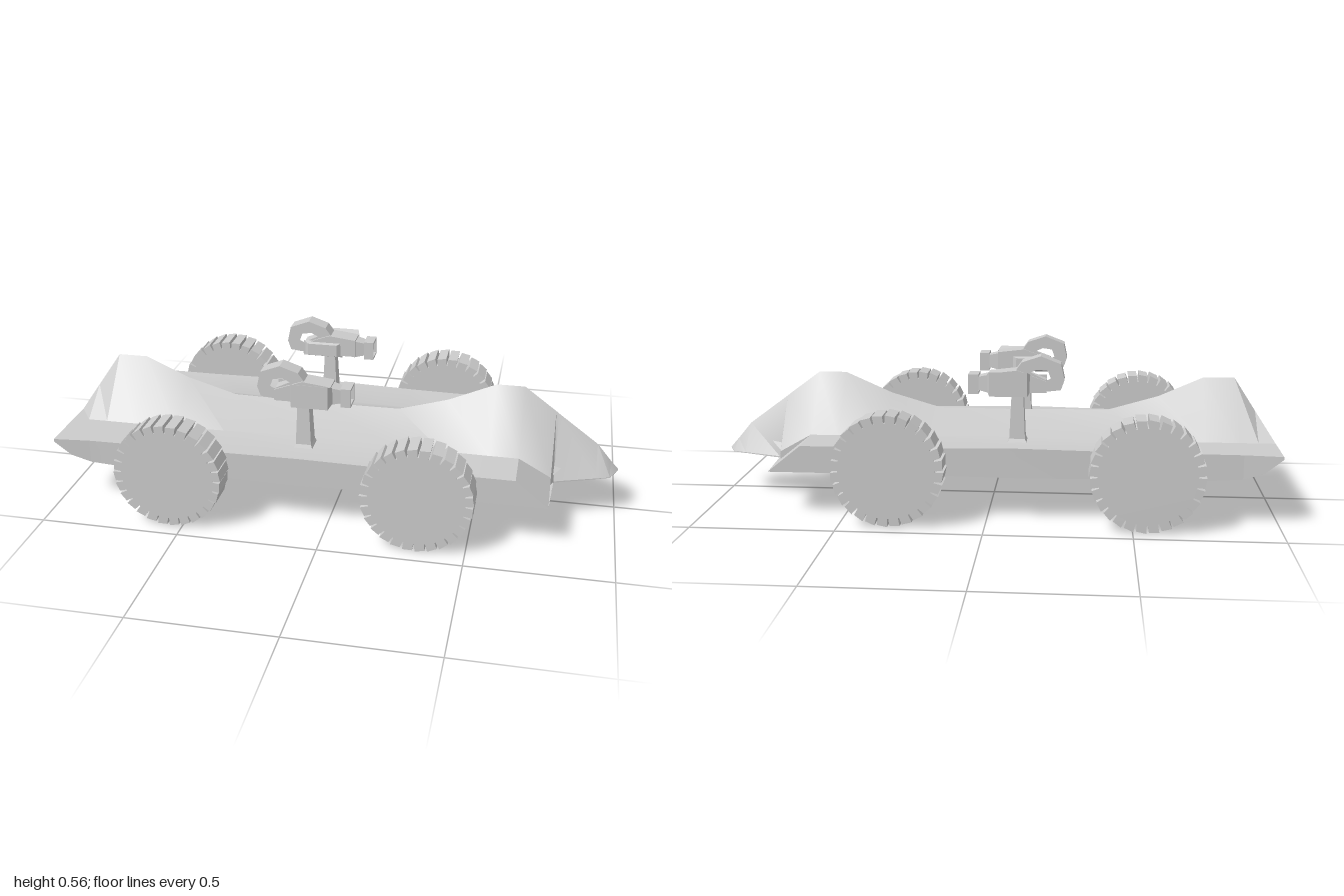
import * as THREE from 'three';
import { toCreasedNormals } from 'three/addons/utils/BufferGeometryUtils.js';

const material = new THREE.MeshStandardMaterial({ color: 0xcccccc });

function addMesh(parent, name, geometry, x = 0, y = 0, z = 0) {
  const mesh = new THREE.Mesh(geometry, material);
  mesh.name = name;
  mesh.position.set(x, y, z);
  parent.add(mesh);
  return mesh;
}

// Mirrors a half section of [y, z] points (top centre to bottom centre) into a ring
function ring(x, half) {
  const left = half.map(([y, z]) => new THREE.Vector3(x, y, z));
  const right = half.slice(1, -1).reverse().map(([y, z]) => new THREE.Vector3(x, y, -z));
  return [...left, ...right];
}

// Joins rings running towards +x, with optional end caps
function loft(rings, capBack, capFront, crease = 0.6) {
  const pos = [];
  const tri = (a, b, c) => {
    const area = b.clone().sub(a).cross(c.clone().sub(a)).length();
    if (area > 1e-8) for (const p of [a, b, c]) pos.push(p.x, p.y, p.z);
  };
  const n = rings[0].length;
  for (let i = 0; i + 1 < rings.length; i++) {
    for (let j = 0; j < n; j++) {
      const k = (j + 1) % n;
      tri(rings[i][j], rings[i][k], rings[i + 1][k]);
      tri(rings[i][j], rings[i + 1][k], rings[i + 1][j]);
    }
  }
  const cap = (r, flip) => {
    const mid = r.reduce((s, p) => s.add(p), new THREE.Vector3()).divideScalar(n);
    r.forEach((p, j) => {
      const q = r[(j + 1) % n];
      if (flip) tri(mid, q, p); else tri(mid, p, q);
    });
  };
  if (capBack) cap(rings[0], true);
  if (capFront) cap(rings[rings.length - 1], false);
  const g = new THREE.BufferGeometry();
  g.setAttribute('position', new THREE.Float32BufferAttribute(pos, 3));
  return toCreasedNormals(g, crease);
}

// Box whose top differs in size from its base
function taperedBox(w0, d0, w1, d1, h) {
  const g = new THREE.BoxGeometry(w0, h, d0).toNonIndexed();
  const p = g.attributes.position;
  for (let i = 0; i < p.count; i++) {
    if (p.getY(i) > 0) p.setXYZ(i, p.getX(i) * w1 / w0, p.getY(i), p.getZ(i) * d1 / d0);
  }
  g.translate(0, h / 2, 0);
  g.computeVertexNormals();
  return g;
}

function extrude(points, depth, hole) {
  const shape = new THREE.Shape(points.map(p => new THREE.Vector2(...p)));
  if (hole) shape.holes.push(new THREE.Path(hole.map(p => new THREE.Vector2(...p))));
  return new THREE.ExtrudeGeometry(shape, { depth, bevelEnabled: false }).translate(0, 0, -depth / 2);
}

function makeHull() {
  const hull = new THREE.Group();
  hull.name = 'hull';
  // x, ridge y, shoulder z, shoulder y, inner deck y, deck edge z, deck edge y, bottom y
  const sections = [
    [-0.87, 0.45, 0.17, 0.25, 0.25, 0.337, 0.25, 0.165],
    [-0.76, 0.45, 0.17, 0.25, 0.25, 0.335, 0.25, 0.157],
    [-0.60, 0.378, 0.168, 0.25, 0.25, 0.335, 0.25, 0.155],
    [-0.42, 0.325, 0.165, 0.252, 0.252, 0.336, 0.252, 0.155],
    [-0.10, 0.32, 0.165, 0.258, 0.258, 0.341, 0.258, 0.153],
    [0.20, 0.322, 0.165, 0.252, 0.252, 0.336, 0.252, 0.155],
    [0.38, 0.375, 0.167, 0.25, 0.25, 0.335, 0.25, 0.155],
    [0.55, 0.45, 0.17, 0.25, 0.25, 0.335, 0.25, 0.155],
    [0.65, 0.45, 0.17, 0.25, 0.25, 0.335, 0.25, 0.155],
    [0.765, 0.365, 0.167, 0.185, 0.157, 0.335, 0.157, 0.155],
    [0.775, 0.357, 0.145, 0.16, 0.157, 0.145, 0.157, 0.155],
    [0.92, 0.25, 0.09, 0.158, 0.157, 0.09, 0.157, 0.155],
    [0.97, 0.19, 0.07, 0.157, 0.157, 0.07, 0.157, 0.155],
    [1.0, 0.156, 0.005, 0.156, 0.156, 0.005, 0.156, 0.155],
  ];
  addMesh(hull, 'hullBody', loft(sections.map(([x, ridge, sz, sy, iy, dz, dy, by]) =>
    ring(x, [[ridge, 0], [sy, sz], [iy, sz], [dy, dz], [by, dz], [by, 0]])), true, true));

  // Tail: two flanks either side of a recessed ramp
  const mix = THREE.MathUtils.lerp;
  const tail = [[1, 0.24], [0.55, 0.19], [0, 0.165]].map(([t, bottom]) => {
    const floor = mix(0.3, 0.245, t);
    const edge = mix(0.337, 0.35, t);
    return ring(mix(-0.87, -1, t), [[floor, 0], [floor, 0.085], [mix(0.45, 0.25, t), 0.085 * t],
      [0.25, 0.17], [0.25, edge], [bottom, edge], [bottom, 0]]);
  });
  addMesh(hull, 'tail', loft(tail, true, false, 0.3));

  // Small prongs beside the nose
  for (const s of [1, -1]) {
    const base = [[0.24, 0.085 * s], [0.17, 0.165 * s], [0.17, 0.085 * s]];
    if (s < 0) base.reverse();
    const tip = new THREE.Vector3(0.815, 0.205, 0.09 * s);
    addMesh(hull, 'noseProng', loft([base.map(([y, z]) => new THREE.Vector3(0.75, y, z)),
      [tip, tip, tip]], true, false, 0.1));
  }
  return hull;
}

// Wheel with narrow slots cut between the tread blocks
function wheelGeometry() {
  const teeth = 28, points = [];
  for (let i = 0; i < teeth; i++) {
    for (const [f, r] of [[0, 0.195], [0.8, 0.191], [0.86, 0.166], [0.97, 0.166]]) {
      const a = (i + f) / teeth * Math.PI * 2;
      points.push([r * Math.cos(a), r * Math.sin(a)]);
    }
  }
  return extrude(points, 0.1);
}

function makeGun(side) {
  const gun = new THREE.Group();
  gun.name = 'gun';
  // Pedestal with a flared foot
  addMesh(gun, 'pedestalFoot', taperedBox(0.072, 0.08, 0.055, 0.062, 0.02), -0.1, 0.25);
  addMesh(gun, 'pedestal', taperedBox(0.055, 0.062, 0.04, 0.048, 0.165), -0.1, 0.268);
  // Curved feed housing with an opening
  addMesh(gun, 'feedHousing', extrude(
    [[-0.21, 0.44], [-0.25, 0.445], [-0.262, 0.48], [-0.25, 0.535], [-0.18, 0.562],
      [-0.115, 0.54], [-0.09, 0.505], [-0.1, 0.445]], 0.06,
    [[-0.215, 0.485], [-0.205, 0.512], [-0.17, 0.517], [-0.145, 0.505], [-0.2, 0.478]]));
  // Receiver and barrel
  addMesh(gun, 'receiver', extrude(
    [[-0.2, 0.435], [0.0, 0.435], [0.0, 0.5], [-0.1, 0.512], [-0.2, 0.475]], 0.072));
  const barrel = taperedBox(0.065, 0.06, 0.045, 0.044, 0.045).rotateZ(-Math.PI / 2);
  addMesh(gun, 'barrel', barrel, -0.005, 0.463);
  // Flared hollow muzzle
  const square = r => [[-r, -r], [r, -r], [r, r], [-r, r]];
  const muzzle = extrude(square(0.034), 0.036, square(0.026)).rotateY(Math.PI / 2);
  addMesh(gun, 'muzzle', muzzle, 0.052, 0.462);
  // Side boxes, the larger one outboard
  const outer = taperedBox(0.15, 0.06, 0.13, 0.085, 0.03).rotateX(side * Math.PI / 2);
  addMesh(gun, 'outerSideBox', outer, -0.07, 0.467, side * 0.03);
  const inner = taperedBox(0.15, 0.06, 0.11, 0.045, 0.017).rotateX(-side * Math.PI / 2);
  addMesh(gun, 'innerSideBox', inner, -0.125, 0.457, -side * 0.03);
  gun.position.z = side * 0.22;
  return gun;
}

export function createModel() {
  const model = new THREE.Group();
  model.name = 'buggy';
  model.add(makeHull());
  const tyre = wheelGeometry();
  const axle = new THREE.CylinderGeometry(0.03, 0.03, 0.06, 12).rotateX(Math.PI / 2);
  for (const side of [1, -1]) {
    for (const x of [-0.545, 0.33]) {
      addMesh(model, 'wheel', tyre, x, 0.195, side * 0.394);
      addMesh(model, 'axle', axle, x, 0.2, side * 0.33);
    }
    model.add(makeGun(side));
  }
  return model;
}
